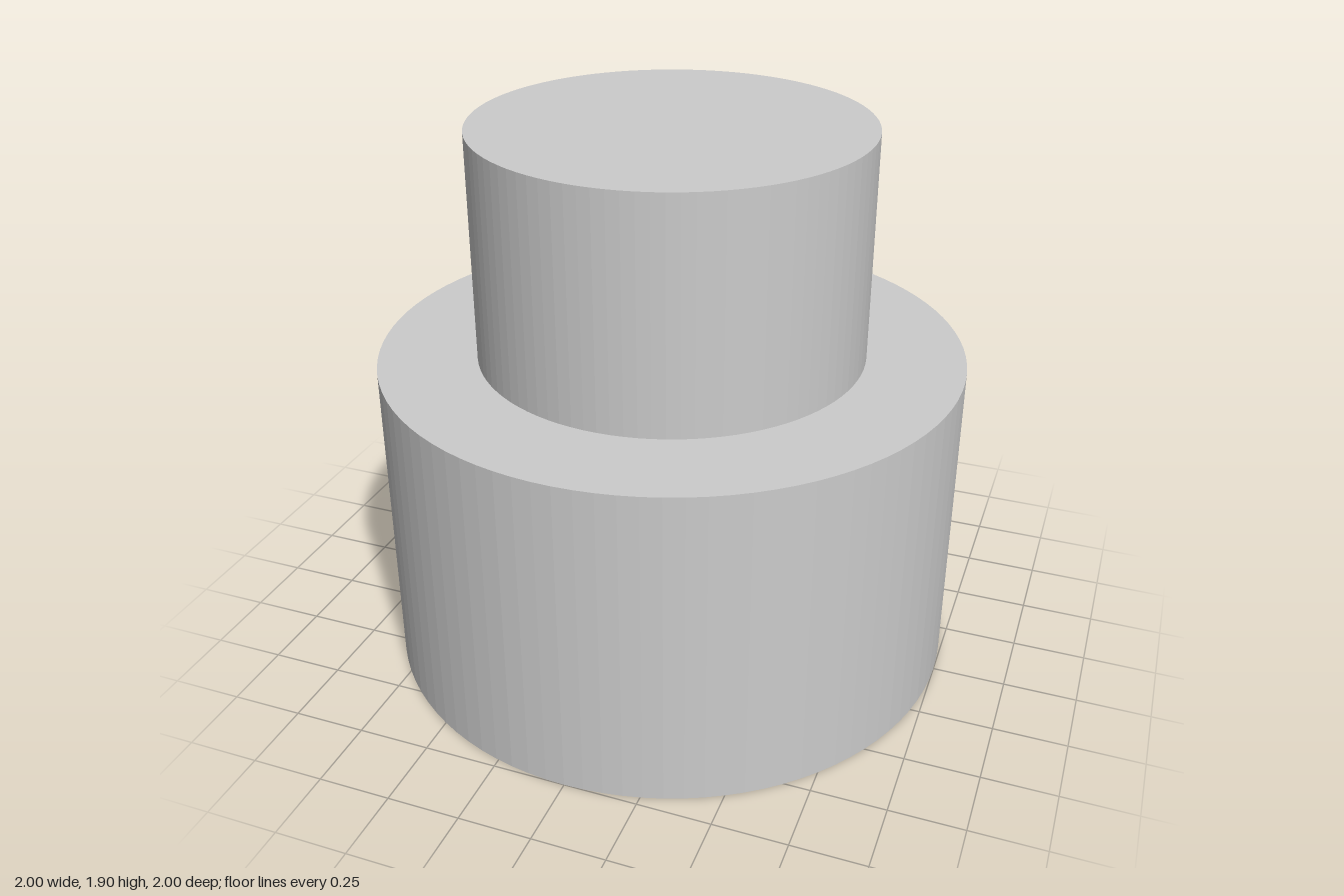
import * as THREE from 'three';

export function createModel() {
  const group = new THREE.Group();
  const material = new THREE.MeshStandardMaterial({ color: 0xcccccc, flatShading: true });

  // Upright round drum standing between two heights
  const addDrum = (name, radius, bottom, top) => {
    const height = top - bottom;
    const mesh = new THREE.Mesh(new THREE.CylinderGeometry(radius, radius, height, 96), material);
    mesh.position.y = bottom + height / 2;
    mesh.name = name;
    group.add(mesh);
  };

  addDrum('base', 1, 0, 1.12);
  addDrum('upperCylinder', 0.665, 1.12, 1.905);

  return group;
}
